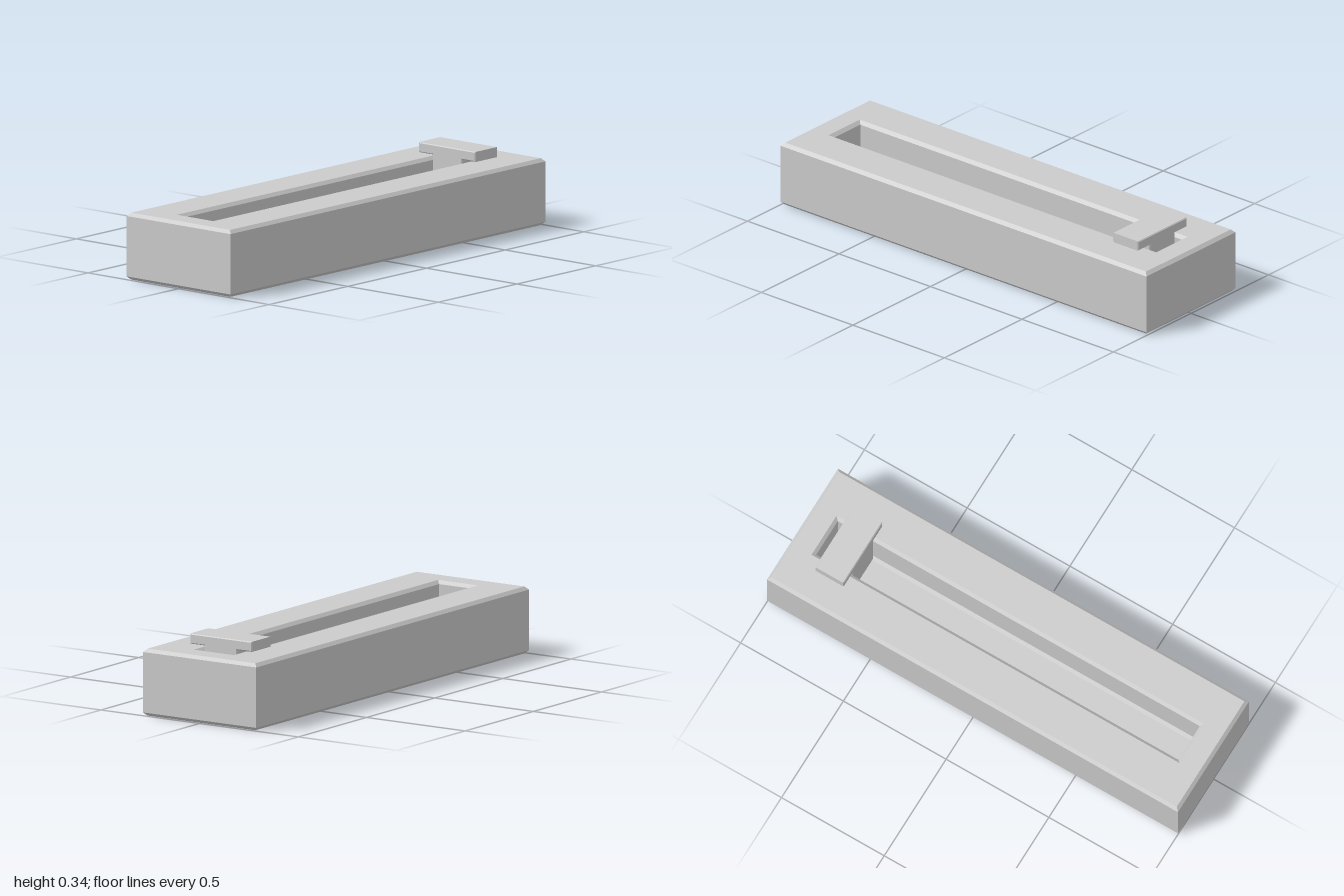
import * as THREE from 'three';

const material = new THREE.MeshStandardMaterial({ color: 0xcccccc, flatShading: true });

// Skin of rectangular rings [halfX, halfZ, y], listed from the underside outwards and into the slot
function ringSkin(rings) {
  const positions = [];
  const corner = ([hx, hz, y], i) => [[hx, y, hz], [hx, y, -hz], [-hx, y, -hz], [-hx, y, hz]][i % 4];
  for (let r = 0; r < rings.length - 1; r++) {
    for (let i = 0; i < 4; i++) {
      const a = corner(rings[r], i), b = corner(rings[r], i + 1);
      const c = corner(rings[r + 1], i + 1), d = corner(rings[r + 1], i);
      positions.push(...a, ...b, ...c, ...a, ...c, ...d);
    }
  }
  const geometry = new THREE.BufferGeometry();
  geometry.setAttribute('position', new THREE.Float32BufferAttribute(positions, 3));
  geometry.computeVertexNormals();
  return geometry;
}

export function createModel() {
  const group = new THREE.Group();
  const add = (name, geometry) => {
    const mesh = new THREE.Mesh(geometry, material);
    mesh.name = name;
    group.add(mesh);
    return mesh;
  };

  // Chamfered block with a chamfered blind slot in its top
  const H = 0.285, B = 0.014, X = 1, Z = 0.287, SX = 0.895, SZ = 0.101, FLOOR = 0.08;
  add('slottedBody', ringSkin([
    [0.713, 0, 0],
    [X - B, Z - B, 0],
    [X, Z, B],
    [X, Z, H - B],
    [X - B, Z - B, H],
    [SX, SZ, H],
    [SX - B, SZ - B, H - B],
    [SX - B, SZ - B, FLOOR + B],
    [SX - 2 * B, SZ - 2 * B, FLOOR],
    [SX - SZ, 0, FLOOR],
  ]));

  // T-shaped slider: stem in the slot, wide cap on top
  const bevel = 0.004, capZ = 0.157, stemZ = 0.082, capLow = 0.296, capTop = 0.339;
  const half = [
    [stemZ - bevel, FLOOR], [stemZ - bevel, capLow + bevel],
    [capZ - bevel, capLow + bevel], [capZ - bevel, capTop - bevel],
  ];
  const outline = [...half, ...half.map(([z, y]) => [-z, y]).reverse()];
  const shape = new THREE.Shape(outline.map(([z, y]) => new THREE.Vector2(z, y)));
  const width = 0.14;
  const slider = new THREE.ExtrudeGeometry(shape, {
    depth: width - 2 * bevel, bevelEnabled: true, bevelSegments: 1, bevelSize: bevel, bevelThickness: bevel,
  });
  slider.translate(0, 0, bevel - width / 2).rotateY(Math.PI / 2);
  add('slider', slider).position.x = 0.775;

  return group;
}
